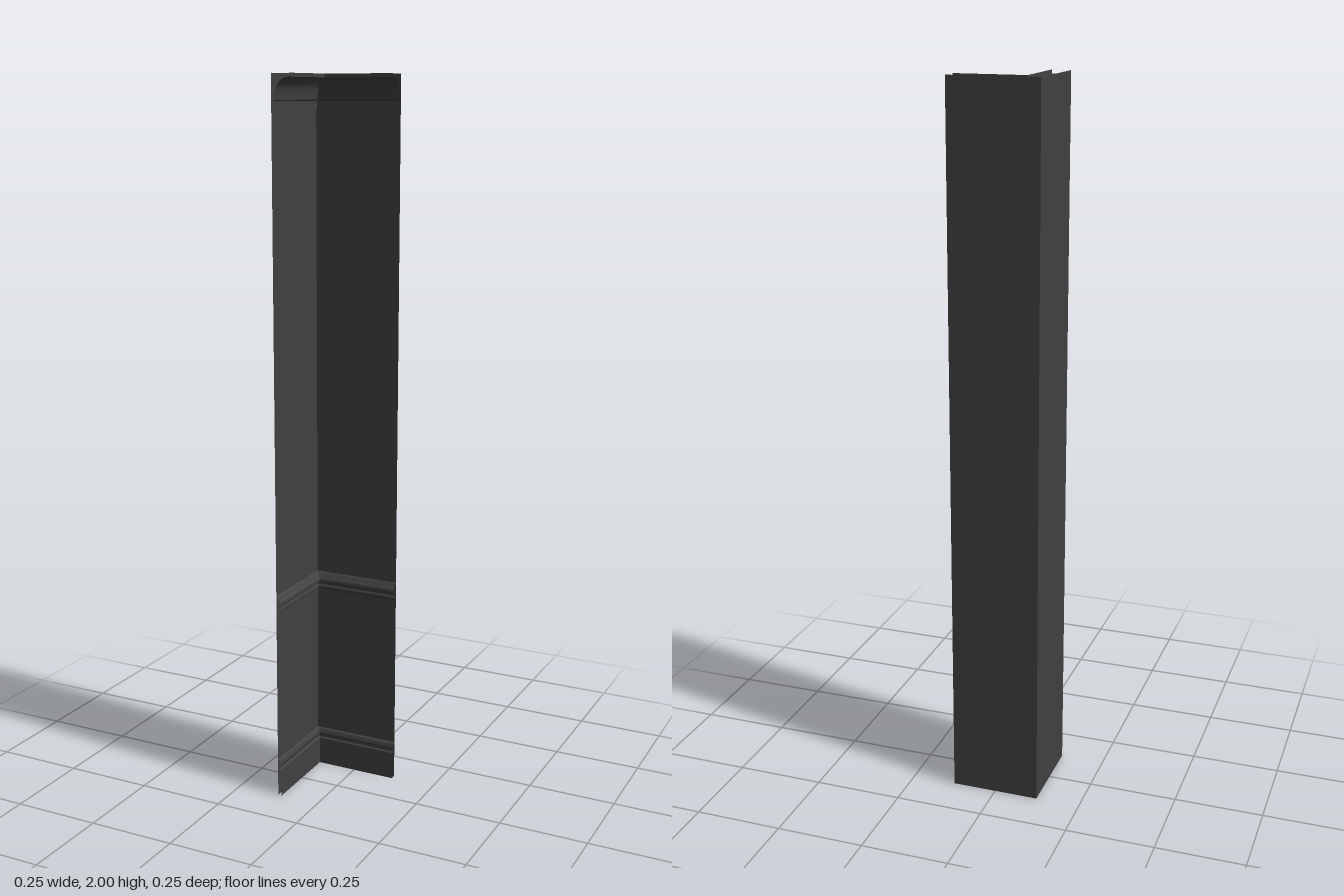
import * as THREE from 'three';
import { toCreasedNormals } from 'three/addons/utils/BufferGeometryUtils.js';

const H = 0.125; // half of the footprint

const material = new THREE.MeshStandardMaterial({ color: 0x404040, side: THREE.DoubleSide });

// Sweeps a profile of [distance from wall, height] around the inside corner with a mitre.
function sweep(name, profile) {
  const rows = profile.map(([d, y]) => [
    [H, y, -H + d],
    [-H + d, y, -H + d],
    [-H + d, y, H],
  ]);
  const positions = [];
  for (let i = 0; i < rows.length - 1; i++) {
    for (let leg = 0; leg < 2; leg++) {
      const a0 = rows[i][leg], b0 = rows[i][leg + 1];
      const a1 = rows[i + 1][leg], b1 = rows[i + 1][leg + 1];
      positions.push(...b0, ...a0, ...a1, ...b0, ...a1, ...b1);
    }
  }
  const geometry = new THREE.BufferGeometry();
  geometry.setAttribute('position', new THREE.Float32BufferAttribute(positions, 3));
  const mesh = new THREE.Mesh(toCreasedNormals(geometry, Math.PI / 6), material);
  mesh.name = name;
  return mesh;
}

// Quarter-ellipse cove, hollow towards the room.
function cove(d0, y0, d1, y1, steps) {
  return Array.from({ length: steps + 1 }, (_, i) => {
    const t = (i / steps) * Math.PI / 2;
    return [d1 - (d1 - d0) * Math.cos(t), y0 + (y1 - y0) * Math.sin(t)];
  });
}

export function createModel() {
  const group = new THREE.Group();
  group.name = 'wallCorner';

  // Two plain wall panels meeting at the corner
  group.add(sweep('wallPanels', [[0, 0], [0, 2]]));

  // Baseboard with a stepped cap
  group.add(sweep('baseboard', [
    [0.011, 0], [0.011, 0.08], [0.007, 0.083], [0.007, 0.09],
    [0.01, 0.095], [0.01, 0.1], [0.006, 0.107], [0, 0.11],
  ]));

  // Chair rail
  group.add(sweep('chairRail', [
    [0, 0.547], [0.007, 0.547], [0.008, 0.557], [0.005, 0.563], [0.007, 0.57],
    [0.014, 0.574], [0.014, 0.582], [0.008, 0.588], [0.004, 0.597], [0, 0.6],
  ]));

  // Crown moulding: foot, cove and lip, open at the top
  group.add(sweep('crownMoulding', [
    [0, 1.906], [0.006, 1.906], [0.006, 1.93],
    ...cove(0.009, 1.933, 0.045, 1.99, 10),
    [0.052, 1.99], [0.052, 2],
  ]));

  return group;
}
